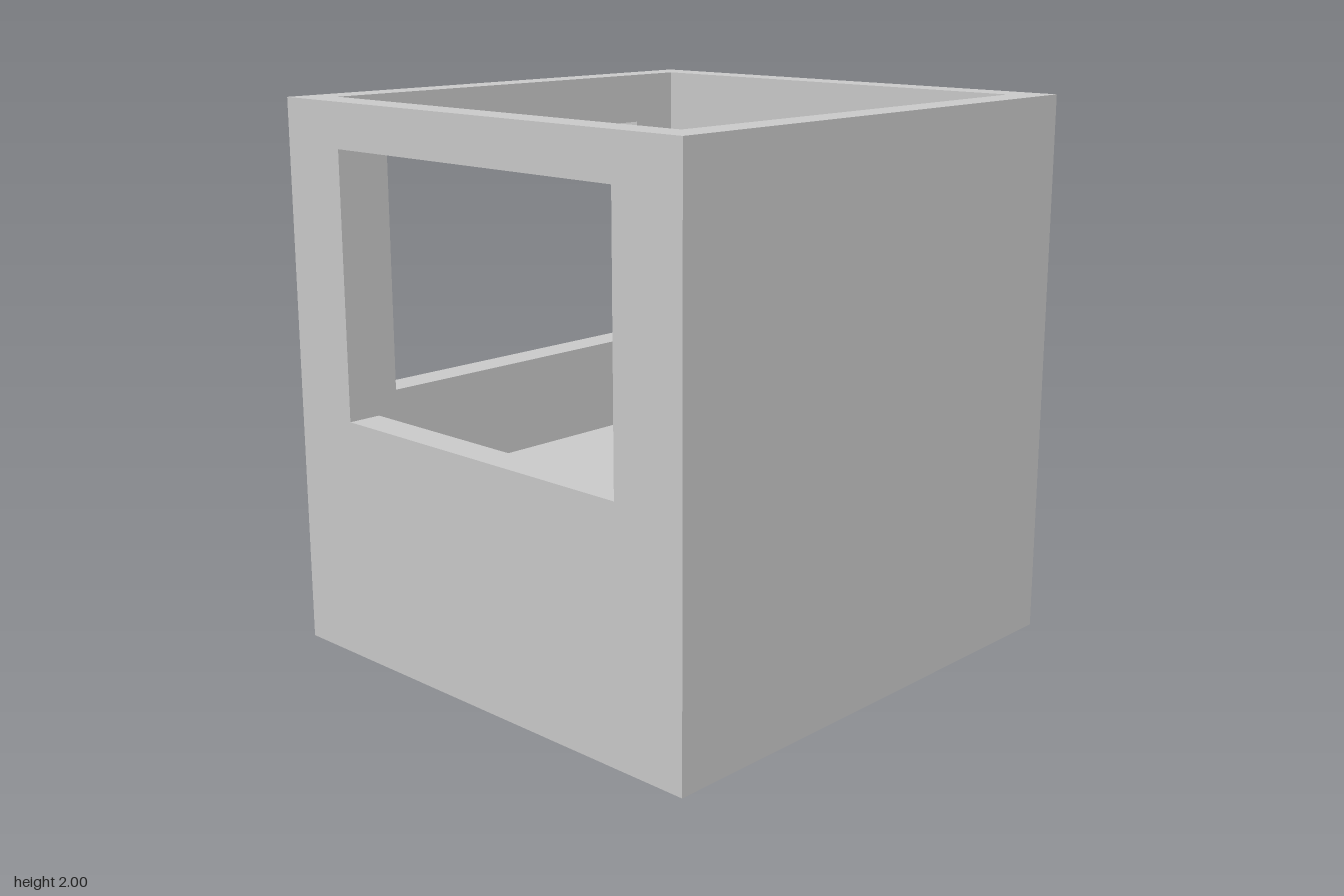
import * as THREE from 'three';

const HEIGHT = 2;
const OUT_X = 0.967, OUT_Z = 0.944; // outer half sizes
const IN_X = 0.842, IN_Z = 0.821;   // inner half sizes
const FLOOR_TOP = 0.55;

// Upright slab centred on x, with an optional window opening
function wallGeometry(halfWidth, depth, win) {
  const shape = new THREE.Shape();
  shape.moveTo(-halfWidth, 0).lineTo(halfWidth, 0).lineTo(halfWidth, HEIGHT).lineTo(-halfWidth, HEIGHT).closePath();
  if (win) {
    const hole = new THREE.Path();
    hole.moveTo(-win.half, win.bottom).lineTo(-win.half, win.top).lineTo(win.half, win.top).lineTo(win.half, win.bottom).closePath();
    shape.holes.push(hole);
  }
  return new THREE.ExtrudeGeometry(shape, { depth, bevelEnabled: false });
}

export function createModel() {
  const group = new THREE.Group();
  const material = new THREE.MeshStandardMaterial({ color: 0xcccccc });
  const add = (name, geometry) => {
    const mesh = new THREE.Mesh(geometry, material);
    mesh.name = name;
    group.add(mesh);
  };

  const backWindow = { half: 0.64, bottom: 0.91, top: 1.81 };
  const sideWindow = { half: 0.66, bottom: 0.88, top: 1.84 };

  // Front and back walls span the full width
  add('frontWall', wallGeometry(OUT_X, OUT_Z - IN_Z).translate(0, 0, IN_Z));
  add('backWall', wallGeometry(OUT_X, OUT_Z - IN_Z, backWindow).translate(0, 0, -OUT_Z));

  // Side walls fit between them
  add('leftWall', wallGeometry(IN_Z, OUT_X - IN_X).rotateY(Math.PI / 2).translate(IN_X, 0, 0));
  add('rightWall', wallGeometry(IN_Z, OUT_X - IN_X, sideWindow).rotateY(Math.PI / 2).translate(-OUT_X, 0, 0));

  // Thick floor inside the walls
  add('floor', new THREE.BoxGeometry(2 * IN_X, FLOOR_TOP, 2 * IN_Z).translate(0, FLOOR_TOP / 2, 0));

  return group;
}
